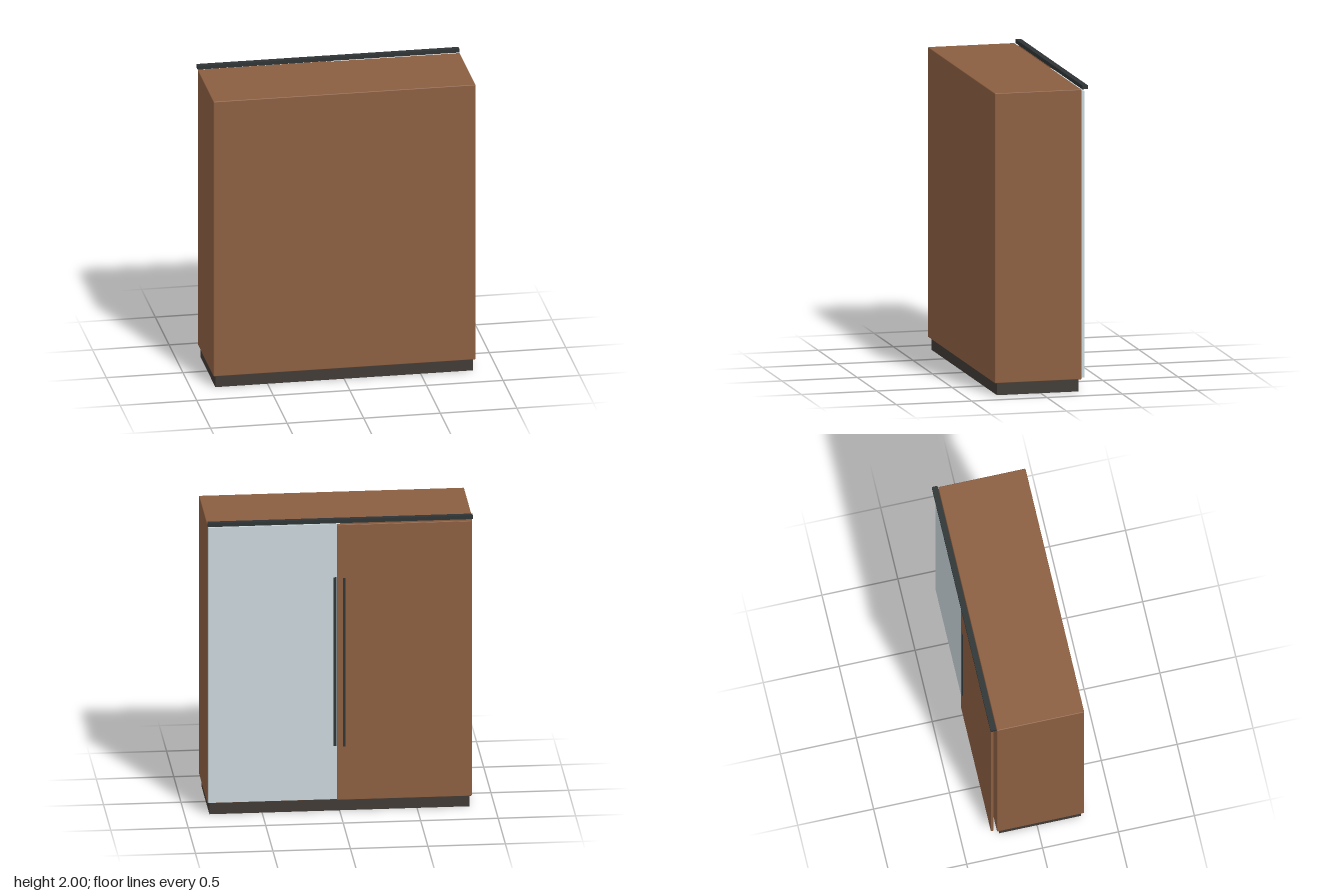
import * as THREE from 'three';
import { RoundedBoxGeometry } from 'three/addons/geometries/RoundedBoxGeometry.js';

const paint = (color) => new THREE.MeshStandardMaterial({ color });

export function createModel() {
  const model = new THREE.Group();
  model.name = 'slidingWardrobe';

  const wood = paint(0x8b5e40);
  const mirror = paint(0xc9d5da);
  const plinthDark = paint(0x403a35);
  const metal = paint(0x2e3335);

  // Box given by its [min, max] range on each axis, optionally with softened edges
  function box(name, material, [x0, x1], [y0, y1], [z0, z1], radius = 0) {
    const size = [x1 - x0, y1 - y0, z1 - z0];
    const geometry = radius
      ? new RoundedBoxGeometry(...size, 2, radius)
      : new THREE.BoxGeometry(...size);
    const mesh = new THREE.Mesh(geometry, material);
    mesh.name = name;
    mesh.position.set((x0 + x1) / 2, (y0 + y1) / 2, (z0 + z1) / 2);
    model.add(mesh);
  }

  // Recessed plinth and closed carcass
  box('plinth', plinthDark, [-0.84, 0.84], [0, 0.08], [-0.25, 0.29]);
  box('carcass', wood, [-0.855, 0.855], [0.08, 1.975], [-0.267, 0.308], 0.005);

  // Two sliding doors on separate planes: mirror inside, wood outside
  box('mirrorDoor', mirror, [0, 0.85], [0.09, 1.962], [-0.287, -0.269]);
  box('woodDoor', wood, [-0.847, 0.022], [0.09, 1.962], [-0.306, -0.289], 0.003);

  // Slim pull bars either side of the meeting edge
  box('mirrorDoorHandle', metal, [0.024, 0.042], [0.455, 1.6], [-0.3, -0.287]);
  box('woodDoorHandle', metal, [-0.034, -0.016], [0.455, 1.6], [-0.309, -0.304]);

  // Top track the doors hang from
  box('topRail', metal, [-0.855, 0.855], [1.975, 2], [-0.309, -0.272]);

  return model;
}
